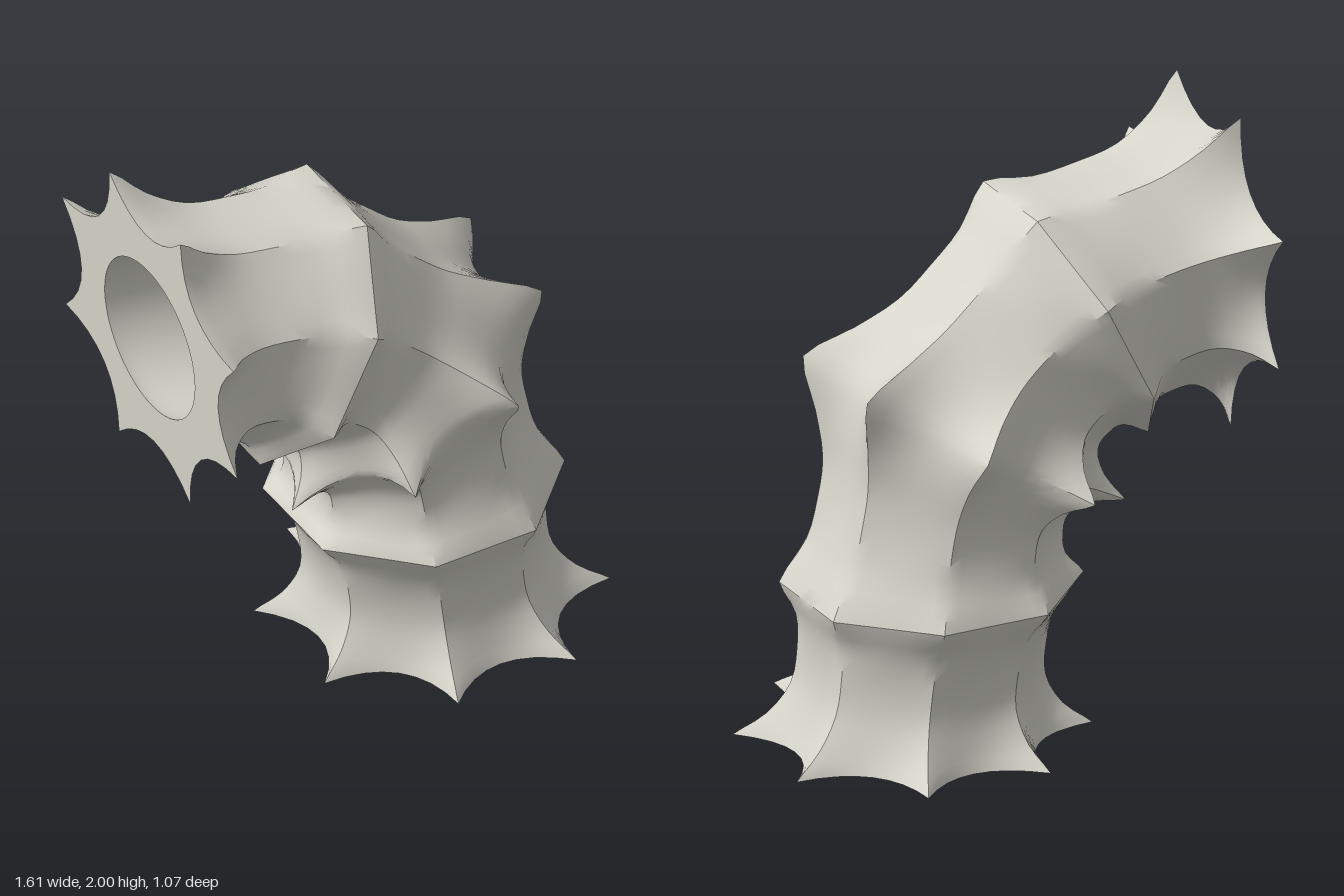
import * as THREE from 'three';
import { toCreasedNormals } from 'three/addons/utils/BufferGeometryUtils.js';

const SIDES = 8;        // ridges around the pipe
const PER_SIDE = 8;     // samples across one concave side
const STEPS = 15;       // rings per pipe section
const BORE = 0.28;

const v2 = (x, y) => new THREE.Vector2(x, y);

// Centre line through the five main rings, and how far each ring leans (degrees)
const path = new THREE.SplineCurve([
  v2(0.268, 0), v2(0.2, 0.515), v2(0.08, 1.01), v2(-0.287, 1.36), v2(-0.787, 1.465),
]);
const lean = [0, 0, 29, 63.7, 92];

// From a star ring to an octagonal ring: x = ridge radius, y = valley distance
const profile = new THREE.SplineCurve([
  v2(0.579, 0.425), v2(0.476, 0.4), v2(0.411, 0.375),
  v2(0.402, 0.375), v2(0.42, 0.403), v2(0.49, 0.452),
]);

// Adds one ring: eight parabolic sides running from ridge to ridge
function addRing(out, s, ridge, valley) {
  const i = Math.min(Math.floor(s), lean.length - 2);
  const tilt = THREE.MathUtils.degToRad(THREE.MathUtils.lerp(lean[i], lean[i + 1], s - i));
  const c = path.getPoint(s / (lean.length - 1));
  const half = Math.PI / SIDES;
  for (let k = 0; k < SIDES; k++) {
    const a = k * 2 * half;
    for (let j = 0; j < PER_SIDE; j++) {
      const u = (2 * j) / PER_SIDE - 1;
      const lateral = u * ridge * Math.sin(half);
      const depth = valley + (ridge * Math.cos(half) - valley) * u * u;
      const p = depth * Math.cos(a) - lateral * Math.sin(a);
      const q = depth * Math.sin(a) + lateral * Math.cos(a);
      out.push(c.x + p * Math.cos(tilt), c.y + p * Math.sin(tilt), q);
    }
  }
}

function pipeGeometry() {
  const positions = [];
  const total = STEPS * (lean.length - 1);

  // Ribbed outside, going up
  for (let n = 0; n <= total; n++) {
    const s = n / STEPS;
    const f = s % 2;
    const r = profile.getPoint(f <= 1 ? f : 2 - f);
    addRing(positions, s, r.x, r.y);
  }
  // Round bore, coming back down
  for (let n = total; n >= 0; n--) addRing(positions, n / STEPS, BORE, BORE);

  // Join every ring to the next; the two jumps form the flat star-shaped ends
  const around = SIDES * PER_SIDE;
  const rings = 2 * (total + 1);
  const index = [];
  for (let r = 0; r < rings; r++) {
    const lo = r * around;
    const hi = ((r + 1) % rings) * around;
    for (let k = 0; k < around; k++) {
      const m = (k + 1) % around;
      index.push(lo + k, hi + k, lo + m, lo + m, hi + k, hi + m);
    }
  }
  const g = new THREE.BufferGeometry();
  g.setAttribute('position', new THREE.Float32BufferAttribute(positions, 3));
  g.setIndex(index);
  return toCreasedNormals(g, 0.6);
}

export function createModel() {
  const stone = new THREE.MeshStandardMaterial({ color: 0xd6d5cb });
  stone.name = 'pale stone';
  const pipe = new THREE.Mesh(pipeGeometry(), stone);
  pipe.name = 'ribbedElbowPipe';
  const group = new THREE.Group();
  group.name = 'elbowPipe';
  group.add(pipe);
  return group;
}
